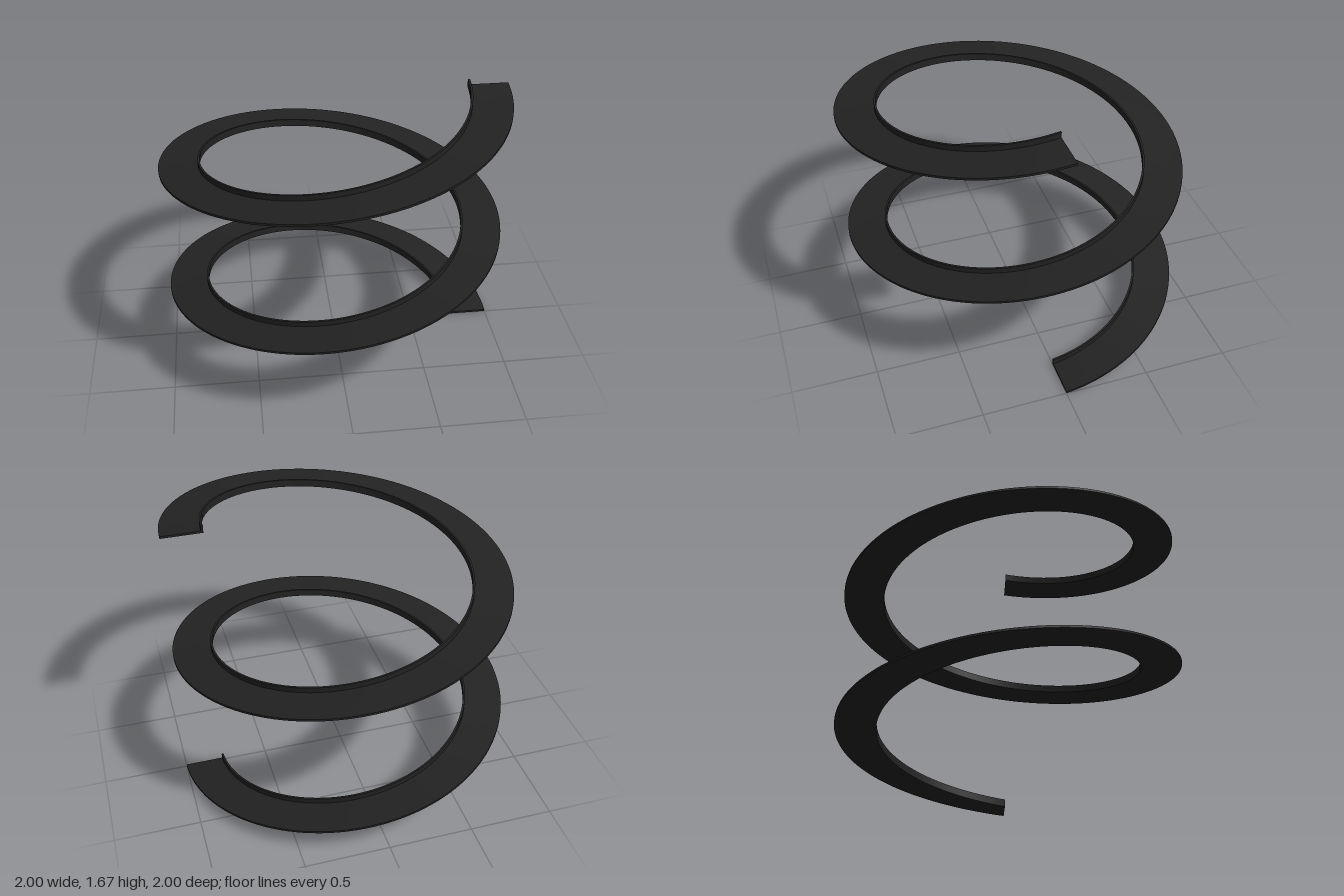
import * as THREE from 'three';

const TURNS = 2, PITCH = 0.815, STEPS = 256;

// L-shaped section (radius, height): flat band with a thin raised lip inside
const SECTION = [
  [0.765, 0], [1, 0], [1, 0.013], [0.777, 0.013], [0.777, 0.045], [0.765, 0.045],
];

// One smooth helical strip per section edge, so the corners stay sharp
function helixSweep(section) {
  const pos = [], idx = [];
  section.forEach((p, e) => {
    const q = section[(e + 1) % section.length];
    const base = pos.length / 3;
    for (let i = 0; i <= STEPS; i++) {
      const t = (i / STEPS) * TURNS, a = t * Math.PI * 2;
      for (const [r, y] of [p, q]) pos.push(r * Math.cos(a), y + t * PITCH, -r * Math.sin(a));
      if (i < STEPS) {
        const k = base + i * 2;
        idx.push(k, k + 2, k + 1, k + 1, k + 2, k + 3);
      }
    }
  });
  const geo = new THREE.BufferGeometry();
  geo.setAttribute('position', new THREE.Float32BufferAttribute(pos, 3));
  geo.setIndex(idx);
  geo.computeVertexNormals();
  return geo;
}

export function createModel() {
  const group = new THREE.Group();
  group.name = 'spiralBand';
  const mat = new THREE.MeshStandardMaterial({ color: 0x222222, side: THREE.DoubleSide });

  // Helical band with its inner lip
  const band = new THREE.Mesh(helixSweep(SECTION), mat);
  band.name = 'helicalBand';
  group.add(band);

  // Flat caps closing the two ends
  const capGeo = new THREE.ShapeGeometry(
    new THREE.Shape(SECTION.map(([r, y]) => new THREE.Vector2(r, y))));
  [['lowerEndCap', 0], ['upperEndCap', TURNS * PITCH]].forEach(([name, y]) => {
    const cap = new THREE.Mesh(capGeo, mat);
    cap.name = name;
    cap.position.y = y;
    group.add(cap);
  });
  return group;
}
